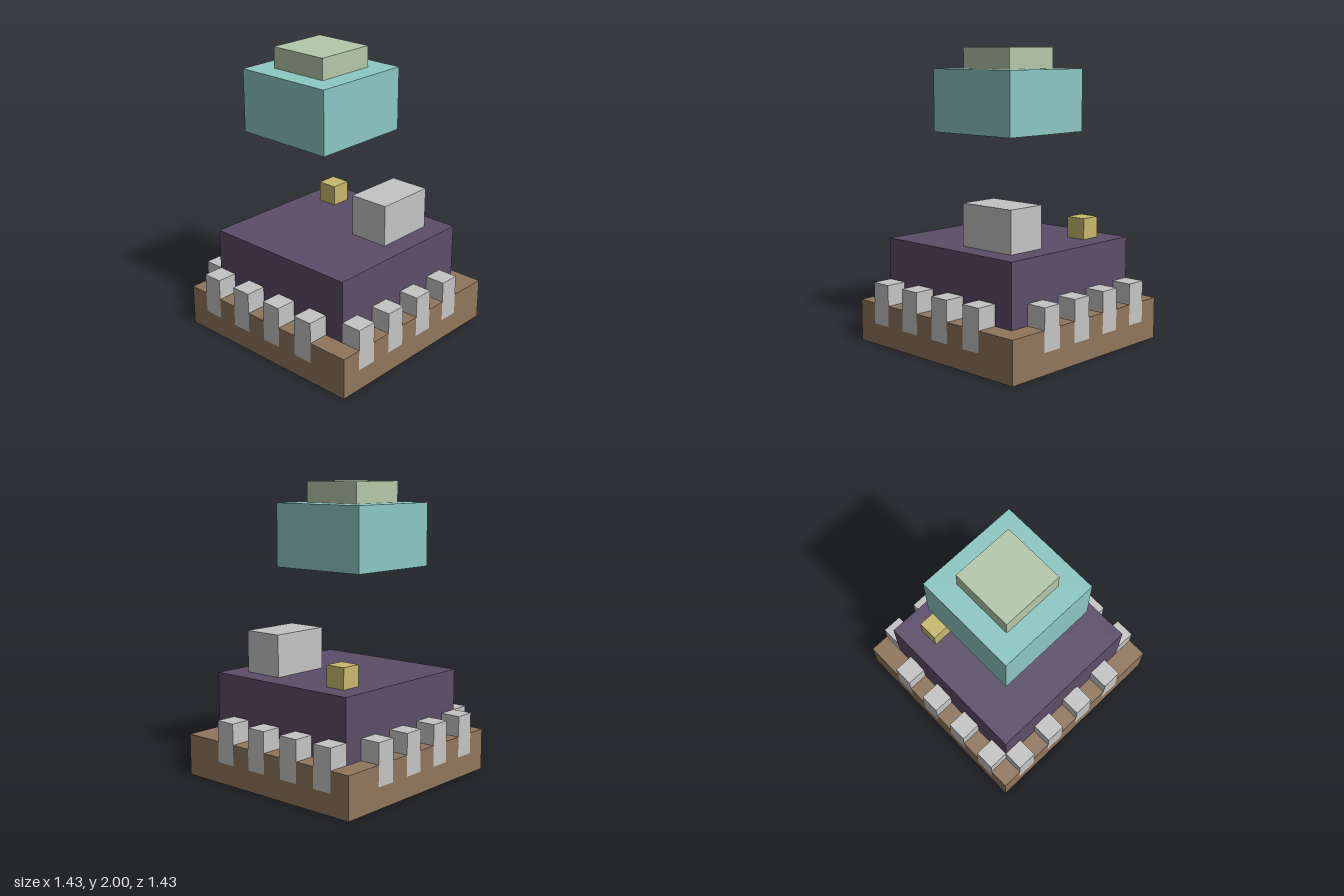
import * as THREE from 'three';

const U = 1 / 7; // one block
const mat = (name, color) => {
  const m = new THREE.MeshStandardMaterial({ color });
  m.name = name;
  return m;
};

export function createModel() {
  const model = new THREE.Group();
  model.name = 'floatingBlockTower';

  const brown = mat('brown', 0x90765c);
  const purple = mat('purple', 0x5c4d68);
  const grey = mat('grey', 0xc4c4c4);
  const gold = mat('gold', 0xc8b96e);
  const teal = mat('teal', 0x8cc8c3);
  const green = mat('green', 0xb4c8aa);

  // Box from its minimum corner and size, in blocks
  const block = (name, material, [x, y, z], [w, h, d], parent = model) => {
    const mesh = new THREE.Mesh(new THREE.BoxGeometry(w * U, h * U, d * U), material);
    mesh.position.set((x + w / 2) * U, (y + h / 2) * U, (z + d / 2) * U);
    mesh.name = name;
    parent.add(mesh);
  };

  // Base slab, with a core and a rim notched for the posts
  const base = new THREE.Group();
  base.name = 'base';
  const posts = new THREE.Group();
  posts.name = 'posts';
  model.add(base, posts);
  block('baseSlab', brown, [-5, 0, -5], [10, 1, 10], base);
  block('baseCore', brown, [-4, 1, -4], [8, 1, 8], base);

  for (const edge of [-5, 4]) {
    for (const s of [-4, -2, 0, 2]) {
      // Posts along the front and back, then along the sides
      block('post', grey, [s, 1, edge], [1, 2, 1], posts);
      block('post', grey, [edge, 1, s], [1, 2, 1], posts);
      // Rim pieces between them
      block('rim', brown, [s - 1, 1, edge], [1, 1, 1], base);
      block('rim', brown, [edge, 1, s + 1], [1, 1, 1], base);
    }
    block('rimCorner', brown, [3, 1, edge], [2, 1, 1], base);
  }

  // Main body and the blocks on its roof
  block('body', purple, [-4, 2, -4], [8, 3, 8]);
  block('roofBlock', grey, [0, 5, 1], [3, 2, 2]);
  block('roofCube', gold, [2, 5, -3], [1, 1, 1]);

  // Floating block and its cap
  block('floatingBlock', teal, [-3, 10, -3], [5, 3, 5]);
  block('floatingCap', green, [-2, 13, -2], [3, 1, 3]);

  return model;
}
